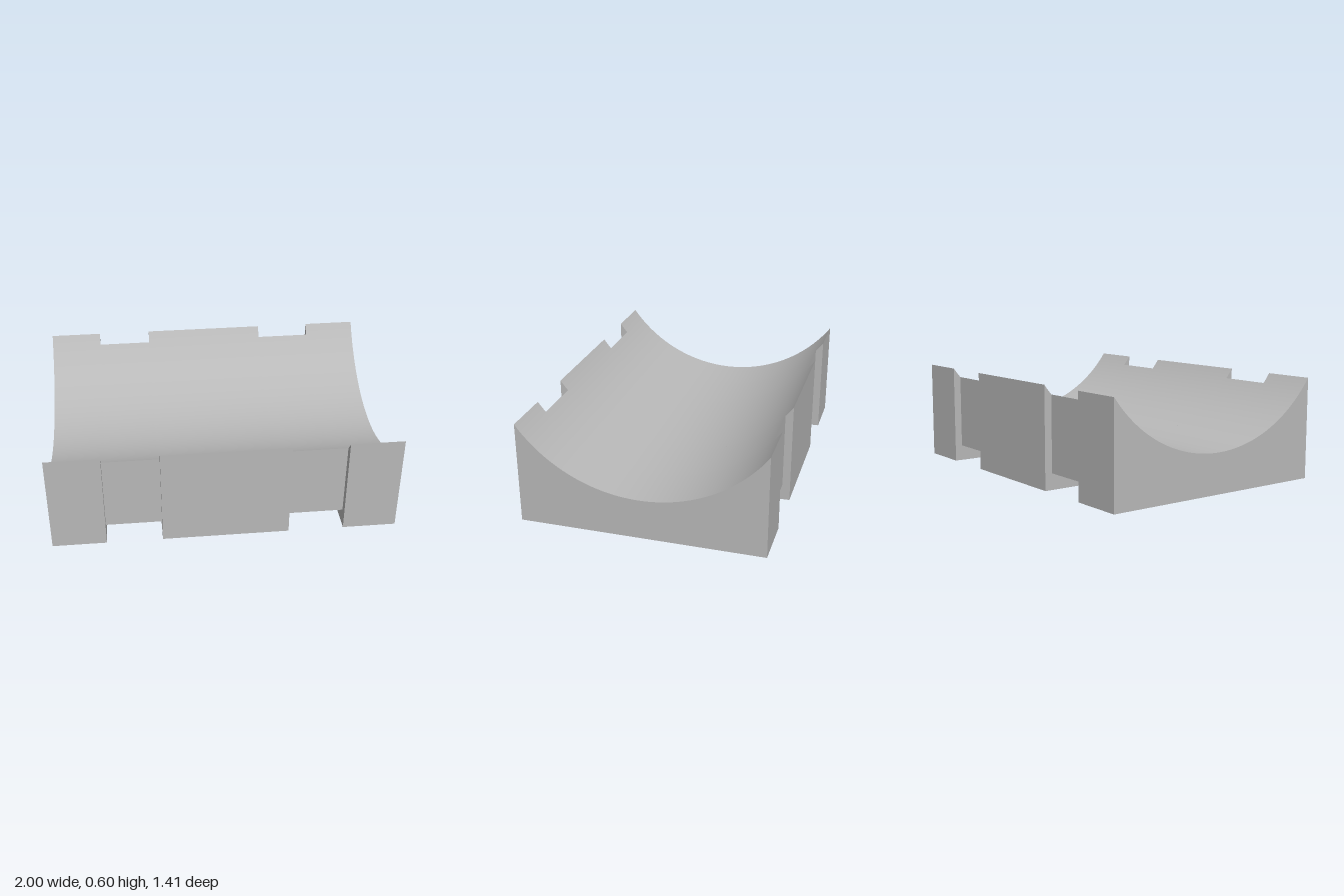
import * as THREE from 'three';
import { toCreasedNormals } from 'three/addons/utils/BufferGeometryUtils.js';

const RADIUS = 0.87, CENTRE_Y = 1.105; // cylindrical trough along x

// Block section from x0 to x1 with a concave top
function section(x0, x1, halfDepth, bottom) {
  const angle = Math.acos(halfDepth / RADIUS);
  const shape = new THREE.Shape();
  shape.moveTo(-halfDepth, bottom);
  shape.lineTo(halfDepth, bottom);
  shape.absarc(0, CENTRE_Y, RADIUS, -angle, -Math.PI + angle, true);
  shape.closePath();
  const geometry = new THREE.ExtrudeGeometry(shape, {
    depth: x1 - x0, bevelEnabled: false, curveSegments: 64,
  });
  geometry.rotateY(Math.PI / 2).translate(x0, 0, 0);
  return toCreasedNormals(geometry, 0.4);
}

export function createModel() {
  const model = new THREE.Group();
  model.name = 'cradleBlock';
  const grey = new THREE.MeshStandardMaterial({ color: 0xb8b8b8 });
  grey.name = 'grey';

  const add = (name, ...size) => {
    const mesh = new THREE.Mesh(section(...size), grey);
    mesh.name = name;
    model.add(mesh);
  };

  // Full-size blocks, with strap grooves recessed at the front, back and underside
  add('rightEndBlock', -1, -0.69, 0.705, 0);
  add('rightStrapGroove', -0.69, -0.367, 0.66, 0.095);
  add('centreBlock', -0.367, 0.367, 0.705, 0);
  add('leftStrapGroove', 0.367, 0.69, 0.66, 0.095);
  add('leftEndBlock', 0.69, 1, 0.705, 0);
  return model;
}
